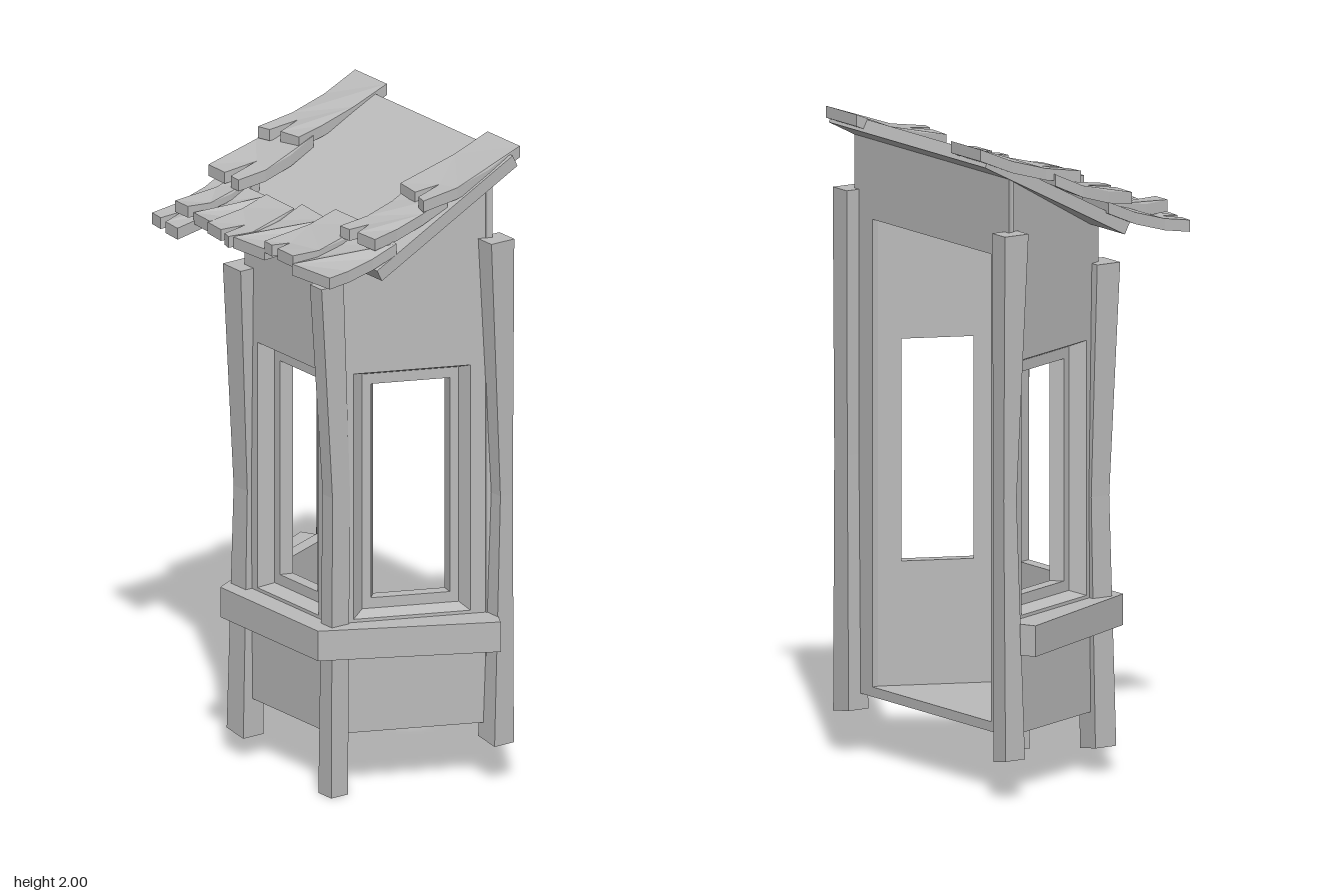
import * as THREE from 'three';

const grey = new THREE.MeshStandardMaterial({ color: 0xbbbbbb });
grey.name = 'plain grey';

// Height of the underside of the roof at a given depth
const roofY = z => 1.68 + 0.515 * (0.14 - z);

// Move every vertex by a rule, then facet the normals
function reshape(geometry, rule) {
  const g = geometry.index ? geometry.toNonIndexed() : geometry;
  const p = g.attributes.position;
  const v = new THREE.Vector3();
  for (let i = 0; i < p.count; i++) {
    rule(v.fromBufferAttribute(p, i));
    p.setXYZ(i, v.x, v.y, v.z);
  }
  g.computeVertexNormals();
  return g;
}

function polygon(points) {
  return new THREE.Shape(points.map(([x, y]) => new THREE.Vector2(x, y)));
}

function extrude(shape, depth) {
  return new THREE.ExtrudeGeometry(shape, { depth, bevelEnabled: false });
}

// Flat piece from a plan outline of [x, z] points
function planSlab(points, top, thickness) {
  return extrude(polygon(points), thickness).rotateX(Math.PI / 2).translate(0, top, 0);
}

function rectHole(shape, x0, x1, y0, y1) {
  shape.holes.push(polygon([[x0, y0], [x0, y1], [x1, y1], [x1, y0]]));
}

export function createModel() {
  const model = new THREE.Group();
  model.name = 'bayWindow';
  const add = (name, geometry, parent = model) => {
    const mesh = new THREE.Mesh(geometry, grey);
    mesh.name = name;
    parent.add(mesh);
    return mesh;
  };
  const group = name => {
    const g = new THREE.Group();
    g.name = name;
    model.add(g);
    return g;
  };

  // Walls: mitred between an outer and an inner plan line, with recessed windows
  const outer = [[0.415, -0.275], [0.22, 0.18], [-0.22, 0.18], [-0.415, -0.275]];
  const inner = [[0.328, -0.275], [0.167, 0.10], [-0.167, 0.10], [-0.328, -0.275]];
  const walls = group('walls');
  const lerp = THREE.MathUtils.lerp;

  function wallLayer(name, i, d0, halfWidth, y0, y1, bevel) {
    const a = outer[i], b = outer[i + 1], c = inner[i], d = inner[i + 1];
    const length = Math.hypot(b[0] - a[0], b[1] - a[1]);
    const shape = polygon([[0, 0.19], [1, 0.19], [1, roofY(b[1]) + 0.01], [0, roofY(a[1]) + 0.01]]);
    const w = halfWidth / length;
    rectHole(shape, 0.5 - w, 0.5 + w, y0, y1);
    add(name, reshape(extrude(shape, 0.5), v => {
      // The reveal narrows slightly toward the back of the layer
      if (v.x > 0.001 && v.x < 0.999 && v.z > 0) {
        v.x += Math.sign(0.5 - v.x) * bevel / length;
        v.y += Math.sign((y0 + y1) / 2 - v.y) * bevel;
      }
      const u = v.x, depth = v.z + d0;
      v.x = lerp(lerp(a[0], b[0], u), lerp(c[0], d[0], u), depth);
      v.z = lerp(lerp(a[1], b[1], u), lerp(c[1], d[1], u), depth);
    }), walls);
  }
  ['leftWall', 'frontWall', 'rightWall'].forEach((name, i) => {
    const half = i === 1 ? 0.155 : 0.18;
    wallLayer(name, i, 0, half, 0.55, 1.33, 0.017);
    wallLayer(name + 'WindowFrame', i, 0.5, half - 0.047, 0.60, 1.28, 0);
  });

  // Back frame with its tall opening, floor and ceiling
  const top = roofY(-0.275) + 0.01;
  const back = polygon([[-0.41, 0.19], [0.41, 0.19], [0.41, top], [-0.41, top]]);
  rectHole(back, -0.318, 0.318, 0.22, 1.65);
  add('backFrame', extrude(back, 0.02).translate(0, 0, -0.276), walls);
  const room = [[0.40, -0.27], [0.21, 0.17], [-0.21, 0.17], [-0.40, -0.27]];
  add('floor', planSlab(room, 0.22, 0.029));
  add('ceiling', planSlab(room, 1.66, 0.01));

  // Sill band wrapping three sides
  add('sill', planSlab([
    [0.247, 0.25], [0.505, -0.24], [0.461, -0.263], [0.39, -0.263], [0.18, 0.14],
    [-0.18, 0.14], [-0.39, -0.263], [-0.461, -0.263], [-0.505, -0.24], [-0.247, 0.25],
  ], 0.54, 0.095));

  // Rough posts: three sections [y, x0, x1, z0, z1], bottom to top
  const posts = group('posts');
  function post(name, sections) {
    const box = new THREE.BoxGeometry(1, 1, 1, 1, 2, 1);
    add(name, reshape(box, v => {
      const [y, x0, x1, z0, z1] = sections[Math.round((v.y + 0.5) * 2)];
      // Sawn ends are slightly out of level
      const tilt = y < 0.5 && y > 0.01 ? v.x * -0.012 : 0;
      v.set(v.x < 0 ? x0 : x1, y + tilt, v.z < 0 ? z0 : z1);
    }), posts);
  }
  post('frontLeftPost', [
    [0, 0.187, 0.252, 0.143, 0.205], [0.95, 0.195, 0.245, 0.13, 0.195], [1.62, 0.18, 0.24, 0.15, 0.232],
  ]);
  post('frontRightPost', [
    [0.076, -0.262, -0.178, 0.14, 0.215], [0.85, -0.254, -0.185, 0.13, 0.195], [1.56, -0.264, -0.174, 0.145, 0.228],
  ]);
  post('backLeftPost', [
    [0.135, 0.38, 0.463, -0.32, -0.248], [0.92, 0.39, 0.46, -0.318, -0.272], [1.73, 0.39, 0.465, -0.32, -0.235],
  ]);
  post('backRightPost', [
    [0.12, -0.463, -0.398, -0.32, -0.25], [0.92, -0.45, -0.395, -0.318, -0.272], [1.73, -0.46, -0.39, -0.32, -0.235],
  ]);

  // Sloping roof board
  const slope = Math.atan(0.515);
  const board = new THREE.BoxGeometry(0.84, 0.04, 0.568).rotateX(slope);
  add('roofBoard', board.translate(0, 1.81 + 0.018, -0.1125 + 0.009));

  // Split, curling shingles:
  // [x0, x1, zBack, zFront left, zFront right, topBack, topFront, notch x, notch z]
  const shingles = group('shingles');
  const tiles = [
    // right column, top to bottom
    [-0.43, -0.27, -0.388, -0.025, -0.06, 2.0, 1.895, -0.37, -0.13],
    [-0.435, -0.27, -0.12, 0.155, 0.165, 1.895, 1.81, -0.335, 0.05],
    [-0.435, -0.28, 0.07, 0.365, 0.385, 1.79, 1.70, -0.37, 0.30],
    // left column
    [0.242, 0.405, -0.385, -0.06, -0.025, 1.995, 1.895, 0.345, -0.13],
    [0.242, 0.405, -0.12, 0.165, 0.155, 1.895, 1.81, 0.30, 0.10],
    // front row
    [-0.36, -0.295, 0.10, 0.335, 0.335, 1.79, 1.755],
    [-0.29, -0.195, 0.115, 0.318, 0.328, 1.77, 1.735],
    [-0.198, -0.05, 0.115, 0.333, 0.365, 1.775, 1.735, -0.105, 0.26],
    [-0.052, 0.092, 0.09, 0.347, 0.335, 1.78, 1.73],
    [0.09, 0.25, 0.07, 0.335, 0.347, 1.80, 1.755, 0.147, 0.28],
    [0.25, 0.42, 0.08, 0.35, 0.335, 1.79, 1.73],
  ];
  tiles.forEach(([x0, x1, zb, zl, zr, yb, yf, nx, nz], i) => {
    const w = 0.006 * (i % 2 ? 1 : -1);
    const zf = Math.max(zl, zr);
    const at = t => lerp(zb, zf, t);
    const outline = [[x0, zb], [x0 - w, at(0.33)], [x0 - w, at(0.66)], [x0, zl]];
    if (nx !== undefined) outline.push([nx - 0.014, lerp(zl, zr, 0.3)], [nx, nz], [nx + 0.022, lerp(zl, zr, 0.7)]);
    outline.push([x1, zr], [x1 + w, at(0.66)], [x1 + w, at(0.33)]);
    outline.push([x1, zb + 0.005 * (i % 3)]);
    add('shingle', reshape(planSlab(outline, 0, 0.036), v => {
      const t = (v.z - zb) / (zf - zb);
      v.y += lerp(yb, yf, t) - 0.07 * t * (1 - t);
    }), shingles);
  });

  return model;
}
